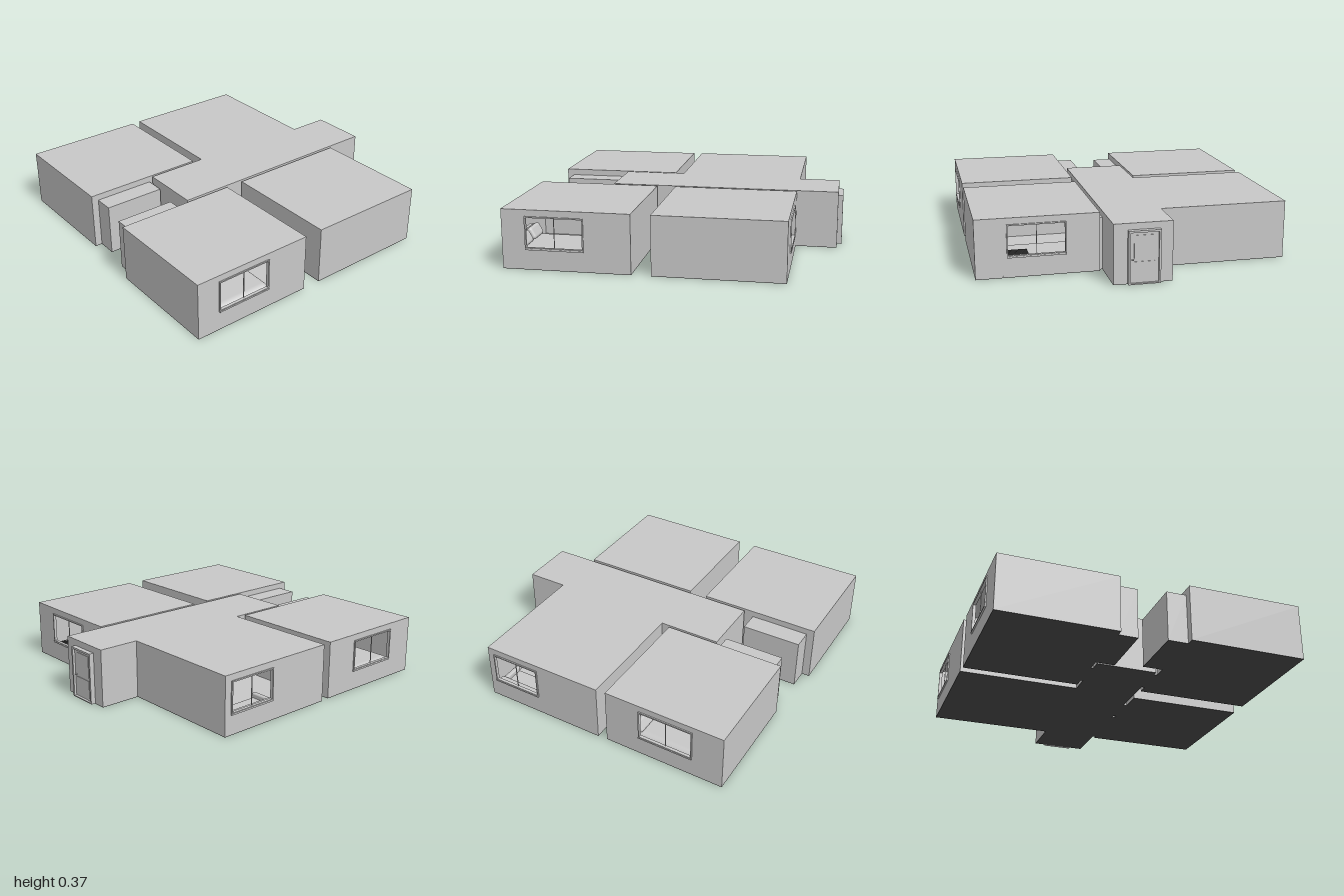
import * as THREE from 'three';
import { RoundedBoxGeometry } from 'three/addons/geometries/RoundedBoxGeometry.js';

const H = 0.37, T = 0.012, BASE = 0.003, SILL = 0.13, HEAD = 0.33;

export function createModel() {
  const house = new THREE.Group();
  house.name = 'house';
  const plaster = new THREE.MeshStandardMaterial({ color: 0xc8c8c8 });
  plaster.name = 'grey plaster';
  const dark = new THREE.MeshStandardMaterial({ color: 0x4c4c4c });
  dark.name = 'dark grey';

  const add = (parent, name, geometry, material = plaster) => {
    const mesh = new THREE.Mesh(geometry, material);
    mesh.name = name;
    parent.add(mesh);
    return mesh;
  };
  // Box given by its limits on each axis
  const box = (parent, name, x0, x1, y0, y1, z0, z1, material) =>
    add(parent, name, new THREE.BoxGeometry(x1 - x0, y1 - y0, z1 - z0), material)
      .position.set((x0 + x1) / 2, (y0 + y1) / 2, (z0 + z1) / 2);
  const softBox = (parent, name, x0, x1, y0, y1, z0, z1, r) =>
    add(parent, name, new RoundedBoxGeometry(x1 - x0, y1 - y0, z1 - z0, 4, r))
      .position.set((x0 + x1) / 2, (y0 + y1) / 2, (z0 + z1) / 2);
  const rect = (Type, x0, x1, y0, y1) => new Type([
    [x0, y0], [x1, y0], [x1, y1], [x0, y1],
  ].map(([x, y]) => new THREE.Vector2(x, y)));
  const extrude = (shape, depth) => new THREE.ExtrudeGeometry(shape, { depth, bevelEnabled: false });

  // Window frame on a wall, spanning a..b along it
  function addWindow(wall, a, b) {
    const g = new THREE.Group();
    g.name = 'window';
    wall.add(g);
    const ring = rect(THREE.Shape, a, b, SILL, HEAD);
    ring.holes.push(rect(THREE.Path, a + 0.008, b - 0.008, SILL + 0.008, HEAD - 0.008));
    add(g, 'windowFrame', extrude(ring, T + 0.008)).position.z = -T;
    const mid = (a + b) / 2;
    box(g, 'windowMullion', mid - 0.002, mid + 0.002, SILL, HEAD, -0.008, -0.003);
    box(g, 'windowSill', a, b, SILL - 0.006, SILL + 0.004, -T, 0.01);
  }

  // Hollow room; the outline of [x, z] corners runs front left, front right, back right ...
  function room(name, outline, windows = {}) {
    const g = new THREE.Group();
    g.name = name;
    house.add(g);
    const plan = new THREE.Shape(outline.map(([x, z]) => new THREE.Vector2(x, -z)));
    for (const [part, y0, y1, material] of [
      ['foundation', 0, BASE, dark], ['floor', BASE, T, plaster], ['roof', H - T, H, plaster],
    ]) add(g, part, extrude(plan, y1 - y0).rotateX(-Math.PI / 2), material).position.y = y0;
    outline.forEach(([x, z], i) => {
      const [x2, z2] = outline[(i + 1) % outline.length];
      const wall = new THREE.Group();
      wall.name = 'wall';
      wall.position.set(x, 0, z);
      wall.rotation.y = Math.atan2(z - z2, x2 - x);
      g.add(wall);
      const face = rect(THREE.Shape, 0, Math.hypot(x2 - x, z2 - z), BASE, H);
      if (windows[i]) {
        const [a, b] = windows[i];
        face.holes.push(rect(THREE.Path, a, b, SILL, HEAD));
        addWindow(wall, a, b);
      }
      add(wall, 'wallPanel', extrude(face, T)).position.z = -T;
    });
    return g;
  }
  const square = (x0, x1, z0, z1) => [[x0, z1], [x1, z1], [x1, z0], [x0, z0]];

  // Bedrooms, study and the living room with its hallway
  const frontRightRoom = room('frontRightBedroom', square(-1, -0.21, 0.215, 0.97), { 0: [0.145, 0.505] });
  const study = room('frontLeftStudy', square(-0.09, 0.705, 0.215, 0.97), { 1: [0.19, 0.55] });
  const backRoom = room('backBedroom', square(-0.96, -0.17, -0.97, -0.215), { 2: [0.23, 0.59] });
  const living = room('livingRoomAndHall', [
    [-0.51, 0.195], [0.97, 0.195], [0.97, -0.165], [0.705, -0.165],
    [0.705, -0.975], [-0.11, -0.975], [-0.11, -0.2], [-0.51, -0.2],
  ], { 4: [0.045, 0.375] });

  // Closets and the short door passages between rooms
  for (const [name, x0, x1, z0, z1] of [
    ['backCloset', -0.915, -0.525, -0.216, -0.09], ['frontCloset', -0.95, -0.565, 0.085, 0.216],
    ['doorPassage', -0.44, -0.24, -0.216, -0.199], ['doorPassage', -0.48, -0.275, 0.194, 0.216],
    ['doorPassage', 0.05, 0.25, 0.194, 0.216], ['doorPassage', 0.28, 0.68, 0.194, 0.216],
  ]) {
    box(house, name, x0, x1, BASE, HEAD, z0, z1);
    box(house, name + 'Foundation', x0, x1, 0, BASE, z0, z1, dark);
  }

  // Entrance door: frame, recessed leaf with two panels, handle
  const door = new THREE.Group();
  door.name = 'entranceDoor';
  house.add(door);
  box(door, 'doorJamb', 0.965, 1, BASE, 0.33, -0.085, -0.073);
  box(door, 'doorJamb', 0.965, 1, BASE, 0.33, 0.098, 0.11);
  box(door, 'doorLintel', 0.965, 1, 0.318, 0.33, -0.073, 0.098);
  box(door, 'doorStep', 0.965, 1, BASE, 0.01, -0.073, 0.098);
  box(door, 'doorLeaf', 0.965, 0.985, 0.01, 0.318, -0.073, 0.098);
  for (const [y0, y1] of [[0.03, 0.14], [0.16, 0.3]]) {
    box(door, 'doorPanel', 0.984, 0.988, y0, y1, -0.05, 0.075);
  }
  box(door, 'doorHandle', 0.985, 0.995, 0.15, 0.155, 0.078, 0.092);

  // Bed with its head at headX, reaching to footX
  function bed(parent, headX, footX, z0, z1) {
    const g = new THREE.Group();
    g.name = 'bed';
    parent.add(g);
    const x0 = Math.min(headX, footX), x1 = Math.max(headX, footX);
    const dir = Math.sign(footX - headX);
    box(g, 'bedBase', x0, x1, T, 0.05, z0, z1);
    softBox(g, 'mattress', x0, x1, 0.03, 0.125, z0, z1, 0.045);
    box(g, 'headboard', headX - 0.01, headX + 0.01, T, 0.18, z0, z1);
    const half = (z1 - z0) / 2;
    for (const k of [0, 1]) {
      const pillow = add(g, 'pillow', new RoundedBoxGeometry(0.04, 0.08, half * 0.85, 4, 0.018));
      pillow.position.set(headX + dir * 0.05, 0.155, z0 + half * (k + 0.5));
      pillow.rotation.z = dir * 0.5;
    }
  }
  bed(frontRightRoom, -0.95, -0.45, 0.58, 0.945);
  bed(backRoom, -0.32, -0.82, -0.945, -0.58);

  // Sofa below the living room window
  const sofa = new THREE.Group();
  sofa.name = 'sofa';
  living.add(sofa);
  softBox(sofa, 'sofaSeat', 0.28, 0.66, T, 0.08, -0.94, -0.78, 0.015);
  softBox(sofa, 'sofaBack', 0.28, 0.66, T, 0.125, -0.955, -0.92, 0.012);
  for (const x of [0.28, 0.63]) softBox(sofa, 'sofaArm', x, x + 0.03, T, 0.11, -0.94, -0.78, 0.01);

  // Desk below the study window, with a slatted tray on top
  const desk = new THREE.Group();
  desk.name = 'desk';
  study.add(desk);
  box(desk, 'deskTop', 0.42, 0.68, 0.1, 0.112, 0.36, 0.8);
  for (const z of [0.37, 0.77]) box(desk, 'deskSide', 0.43, 0.67, T, 0.1, z, z + 0.02);
  for (let i = 0; i < 7; i++) {
    const x = 0.54 + i * 0.018;
    box(desk, 'traySlat', x, x + 0.01, 0.112, 0.12, 0.64, 0.77, dark);
  }

  // Hanging ceiling lamp
  const lamp = new THREE.Group();
  lamp.name = 'ceilingLamp';
  lamp.position.set(0.3, 0, 0.6);
  study.add(lamp);
  add(lamp, 'lampStem', new THREE.CylinderGeometry(0.005, 0.005, 0.11, 8), dark).position.y = 0.31;
  add(lamp, 'lampShade', new THREE.CylinderGeometry(0.09, 0.1, 0.02, 24), dark).position.y = 0.255;
  return house;
}
